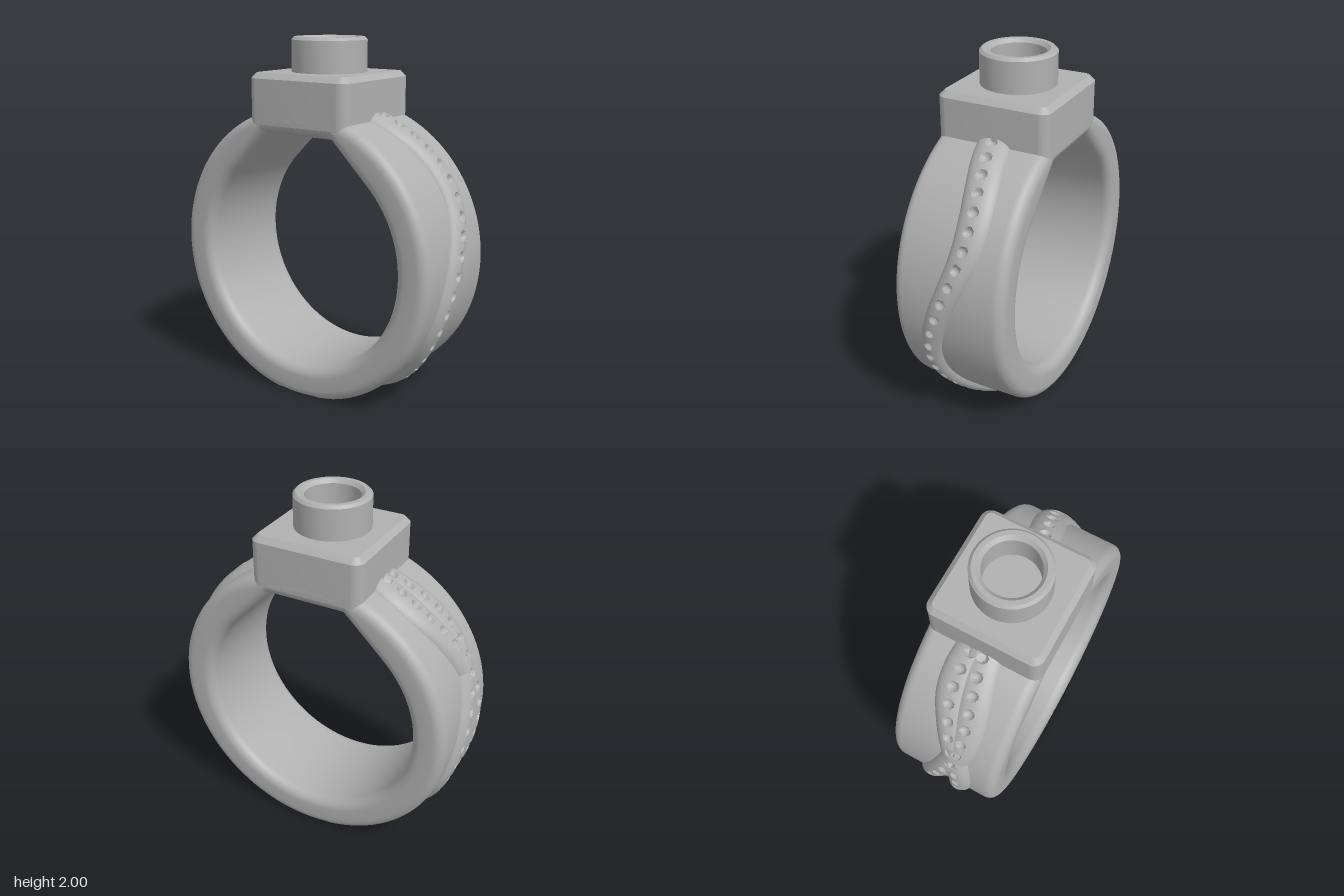
import * as THREE from 'three';
import { toCreasedNormals } from 'three/addons/utils/BufferGeometryUtils.js';

const CY = 0.8;        // height of the ring's axis
const R_OUT = 0.83;    // outer radius of the band
const R_IN = 0.636;    // inner radius of the band
const HALF = 0.325;    // half depth of the band and head
const rad = THREE.MathUtils.degToRad;

// Surface from a grid of points; rows run along i, columns along j
function gridSurface(ni, nj, point) {
  const pos = [], index = [];
  for (let i = 0; i <= ni; i++) for (let j = 0; j <= nj; j++) pos.push(...point(i, j));
  for (let i = 0; i < ni; i++) for (let j = 0; j < nj; j++) {
    const a = i * (nj + 1) + j, b = a + nj + 1;
    index.push(a, b, a + 1, b, b + 1, a + 1);
  }
  const g = new THREE.BufferGeometry();
  g.setAttribute('position', new THREE.Float32BufferAttribute(pos, 3));
  g.setIndex(index);
  g.computeVertexNormals();
  return g;
}

// Point around the ring axis; the underside is cut flat at y = 0
const polar = (a, r, z) => [r * Math.cos(a), Math.max(0, CY + r * Math.sin(a)), z];

// Opening: a circle below, 45 degree walls and a flat ceiling above
function innerRadius(a) {
  const s = Math.sin(a), c = Math.abs(Math.cos(a));
  if (s <= c) return R_IN;
  return Math.min(R_IN / ((s + c) * Math.SQRT1_2), 0.68 / s);
}

// Rounded rectangular section swept around the axis
function bandGeometry() {
  const round = 0.06, steps = 6, section = [];
  // corners: [outer side?, sign of z, start angle]
  for (const [outer, sz, start] of [[1, -1, -90], [1, 1, 0], [0, 1, 90], [0, -1, 180]]) {
    for (let k = 0; k <= steps; k++) {
      const t = rad(start + 90 * k / steps);
      section.push([outer, sz * (HALF - round) + round * Math.sin(t),
        (outer ? -round : round) + round * Math.cos(t)]);
    }
  }
  section.push(section[0]);
  return toCreasedNormals(gridSurface(180, section.length - 1, (i, j) => {
    const a = rad(i * 2), [outer, z, dr] = section[j];
    return polar(a, (outer ? R_OUT : innerRadius(a)) + dr, z);
  }), 0.5);
}

// Winding raised strand with a row of round dimples; sideways offsets are
// given every 12 degrees from -72 to 72
function strandGeometry(offsets) {
  const curve = new THREE.SplineCurve(offsets.map((z, k) => new THREE.Vector2(k, z)));
  const zAt = deg => curve.getPoint(THREE.MathUtils.clamp((deg + 72) / 144, 0, 1)).y;
  const dimples = [];
  for (let k = -10; k <= 10; k++) {
    const deg = 6.7 * k - 0.7;
    dimples.push({ deg, z: zAt(deg), r: 0.025 + 0.004 * k / 10 });
  }
  const ni = 280, nj = 40;
  return toCreasedNormals(gridSurface(ni, nj, (i, j) => {
    const deg = -72 + 148 * i / ni, phi = Math.PI * (j / nj - 0.5);
    const width = THREE.MathUtils.lerp(0.062, 0.108, THREE.MathUtils.smoothstep(deg, -40, 65));
    const z = zAt(deg) + width * Math.sin(phi);
    let r = 0.8 + 0.07 * Math.cos(phi);
    for (const d of dimples) {
      const q = Math.hypot(0.87 * rad(deg - d.deg), z - d.z);
      if (q < d.r) r -= 0.9 * Math.sqrt(d.r * d.r - q * q);
    }
    return polar(rad(deg), r, z);
  }), 0.7);
}

// Square head with rounded corners and a chamfered top
function headGeometry() {
  const h = HALF - 0.03, c = 0.03, s = new THREE.Shape();
  s.absarc(h - c, h - c, c, 0, Math.PI / 2);
  s.absarc(c - h, h - c, c, Math.PI / 2, Math.PI);
  s.absarc(c - h, c - h, c, Math.PI, Math.PI * 1.5);
  s.absarc(h - c, c - h, c, Math.PI * 1.5, Math.PI * 2);
  const g = new THREE.ExtrudeGeometry(s, {
    depth: 0.25, bevelSize: 0.03, bevelThickness: 0.03, bevelSegments: 1, curveSegments: 6,
  });
  g.rotateX(-Math.PI / 2).translate(0, 1.53, 0);
  return toCreasedNormals(g, 0.5);
}

// Hollow round collar on the head
function collarGeometry() {
  const profile = [[0.21, 1.8], [0.21, 1.985], [0.195, 2], [0.17, 2], [0.15, 1.98], [0.15, 1.82], [0.001, 1.82]];
  return toCreasedNormals(new THREE.LatheGeometry(profile.map(p => new THREE.Vector2(...p)), 64), 0.5);
}

export function createModel() {
  const metal = new THREE.MeshStandardMaterial({ color: 0xb0b0b0 });
  metal.name = 'greyMetal';
  const model = new THREE.Group();
  model.name = 'ring';
  const add = (name, geometry) => {
    const mesh = new THREE.Mesh(geometry, metal);
    mesh.name = name;
    model.add(mesh);
    return mesh;
  };

  add('band', bandGeometry());
  add('head', headGeometry());
  add('collar', collarGeometry());

  // One strand on the left, its half-turned twin and a crossing one on the right
  const main = strandGeometry(
    [-0.065, -0.02, 0.04, 0.1, 0.122, 0.1, 0.045, -0.025, -0.078, -0.09, -0.07, -0.035, -0.01]);
  const crossing = strandGeometry(
    [0.06, 0.04, 0.01, -0.02, -0.05, -0.085, -0.11, -0.1, -0.055, 0, 0.05, 0.06, 0.04]);
  add('leftStrand', main);
  add('rightStrand', main).rotation.y = Math.PI;
  add('rightCrossingStrand', crossing).rotation.y = Math.PI;

  // Strand ends that poke through the sloped walls of the opening
  for (const side of [-1, 1]) {
    const end = add(side > 0 ? 'leftStrandEnd' : 'rightStrandEnd', new THREE.SphereGeometry(0.06, 24, 16));
    end.position.set(side * 0.225, 1.485, 0);
  }
  return model;
}
